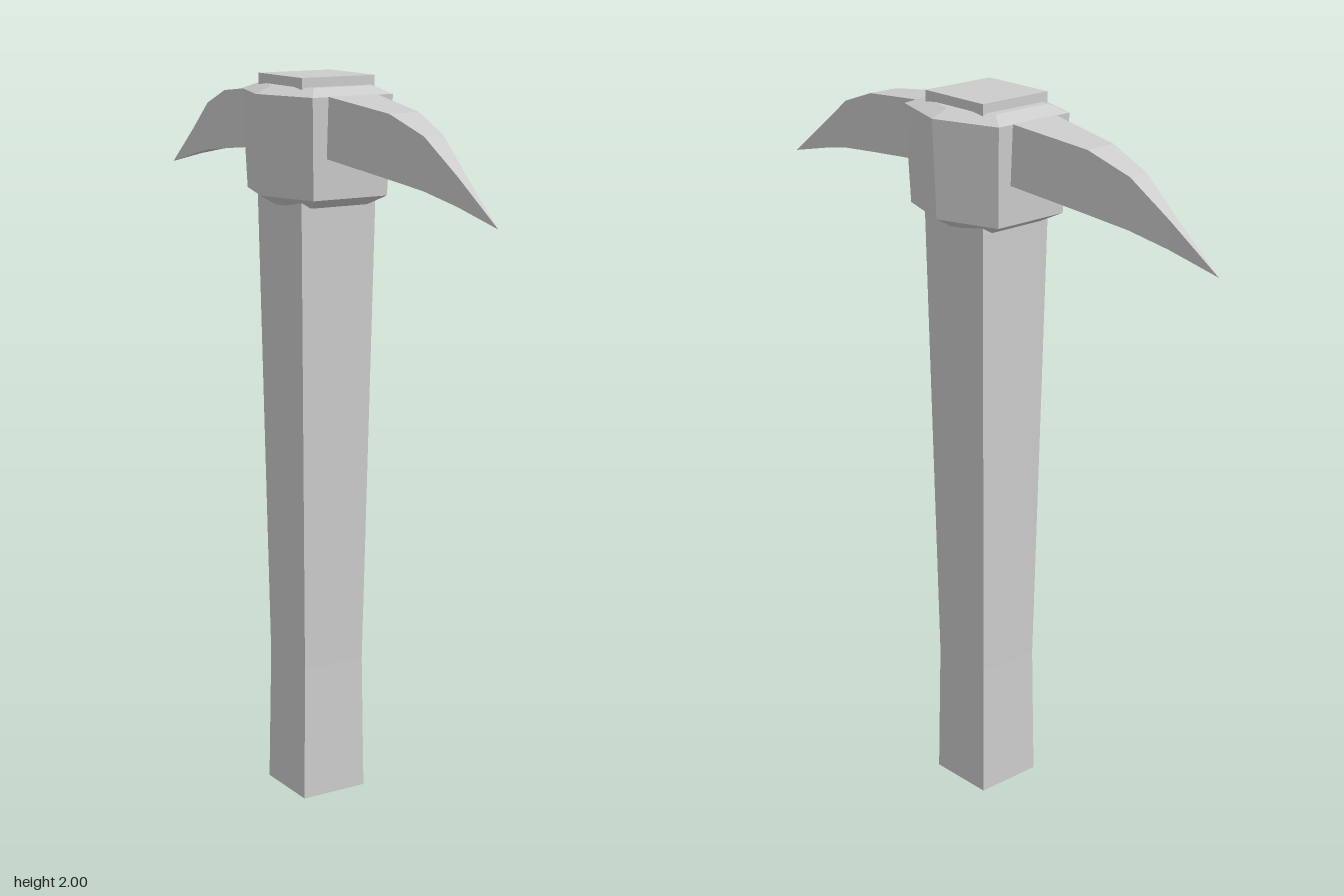
import * as THREE from 'three';

const material = new THREE.MeshStandardMaterial({ color: 0xcccccc, flatShading: true });

// Closed skin through rings of [x, y, z] points, each counter-clockwise seen from the last ring's end
function loft(name, rings) {
  const pos = [];
  const tri = (a, b, c) => pos.push(...a, ...b, ...c);
  const n = rings[0].length;
  for (let i = 0; i < rings.length - 1; i++) {
    for (let j = 0; j < n; j++) {
      const k = (j + 1) % n;
      tri(rings[i][j], rings[i][k], rings[i + 1][k]);
      tri(rings[i][j], rings[i + 1][k], rings[i + 1][j]);
    }
  }
  const first = rings[0], last = rings[rings.length - 1];
  for (let j = 1; j < n - 1; j++) {
    tri(first[0], first[j + 1], first[j]);
    tri(last[0], last[j], last[j + 1]);
  }
  const geometry = new THREE.BufferGeometry();
  geometry.setAttribute('position', new THREE.Float32BufferAttribute(pos, 3));
  geometry.computeVertexNormals();
  const mesh = new THREE.Mesh(geometry, material);
  mesh.name = name;
  return mesh;
}

// Horizontal rings
const square = (y, h) => [[h, y, h], [h, y, -h], [-h, y, -h], [-h, y, h]];
const hexagon = (y, tip, side, depth) => [
  [tip, y, 0], [side, y, -depth], [-side, y, -depth],
  [-tip, y, 0], [-side, y, depth], [side, y, depth],
];

// Upright rectangular ring across a blade
const bladeRing = ([z, top, bottom, w]) => [[w, top, z], [-w, top, z], [-w, bottom, z], [w, bottom, z]];

export function createModel() {
  const group = new THREE.Group();
  group.name = 'pickaxe';

  // Square shaft, slimmest above the grip, running through the head
  group.add(loft('handle', [square(0, 0.098), square(0.38, 0.093), square(1.66, 0.114), square(2, 0.111)]));

  // Six-sided collar with bevelled top and bottom
  group.add(loft('head', [
    hexagon(1.663, 0.125, 0.085, 0.12),
    hexagon(1.69, 0.172, 0.113, 0.172),
    hexagon(1.955, 0.184, 0.122, 0.183),
    hexagon(1.975, 0.135, 0.09, 0.135),
  ]));

  // Curved blades tapering to a point: [z, top, bottom, half width]
  const sections = [
    [0.172, 1.957, 1.797, 0.076],
    [0.42, 1.93, 1.768, 0.045],
    [0.55, 1.885, 1.752, 0.029],
    [0.67, 1.8, 1.727, 0.013],
    [0.822, 1.69, 1.69, 0],
  ];
  for (const [name, turn] of [['frontBlade', 0], ['backBlade', Math.PI]]) {
    const blade = loft(name, sections.map(bladeRing));
    blade.rotation.y = turn;
    group.add(blade);
  }
  return group;
}
